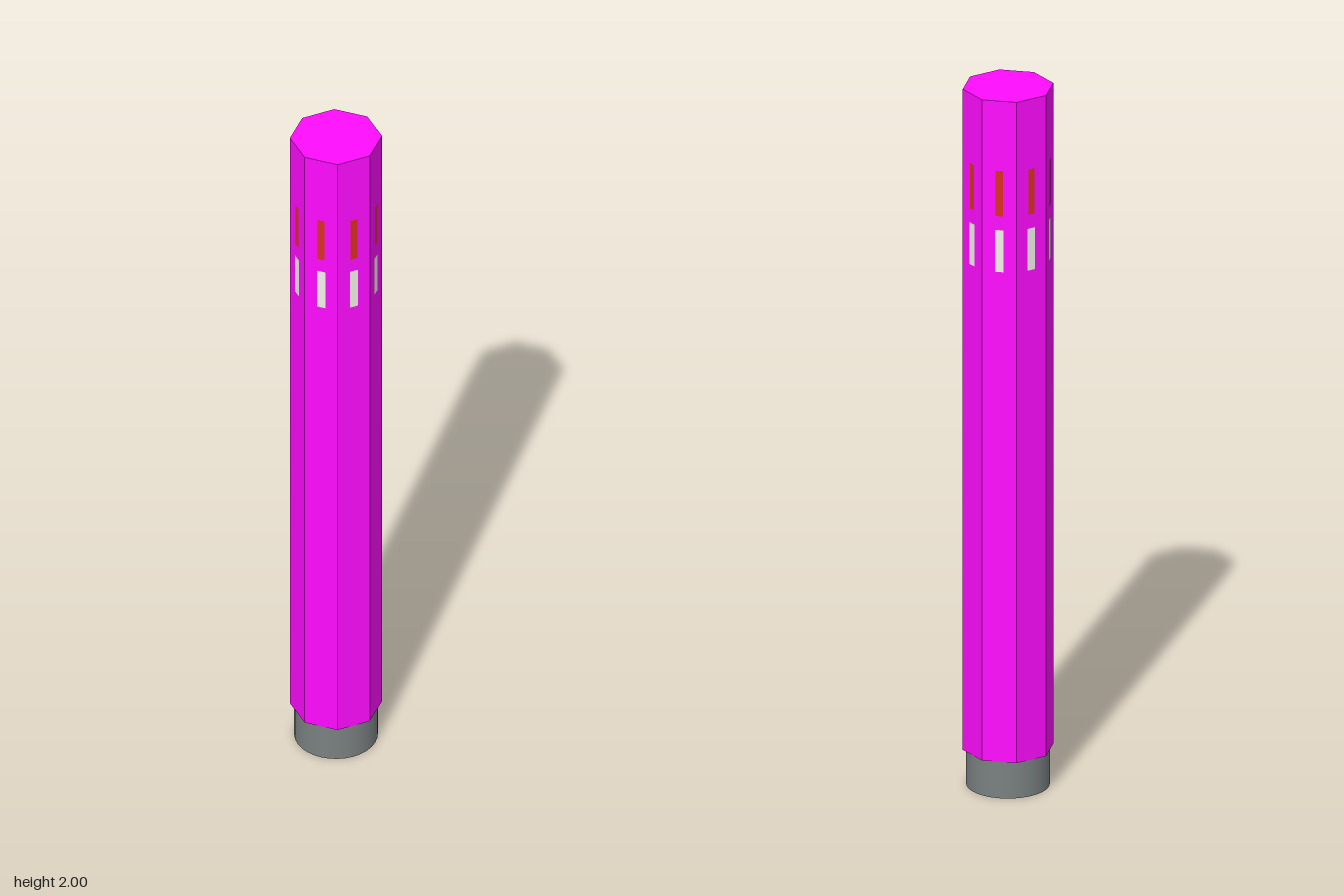
import * as THREE from 'three';

const SIDES = 8;
const RADIUS = 0.123;
const APOTHEM = RADIUS * Math.cos(Math.PI / SIDES);
const BASE_TOP = 0.105;

function material(color, extra = {}) {
  return new THREE.MeshStandardMaterial({ color, ...extra });
}

// Ring of upright panels, one on each face of the shaft
function panelRing(name, color, width, bottom, top) {
  const ring = new THREE.Group();
  ring.name = name;
  const geometry = new THREE.PlaneGeometry(width, top - bottom);
  const mat = material(color, { side: THREE.DoubleSide });
  for (let i = 0; i < SIDES; i++) {
    const angle = ((i + 0.5) / SIDES) * Math.PI * 2;
    const panel = new THREE.Mesh(geometry, mat);
    panel.name = name + 'Panel';
    const r = APOTHEM + 0.0008;
    panel.position.set(Math.sin(angle) * r, (bottom + top) / 2, Math.cos(angle) * r);
    panel.rotation.y = angle;
    ring.add(panel);
  }
  return ring;
}

export function createModel() {
  const model = new THREE.Group();
  model.name = 'column';

  // Octagonal shaft, capped at both ends
  const height = 2 - BASE_TOP;
  const shaft = new THREE.Mesh(
    new THREE.CylinderGeometry(RADIUS, RADIUS, height, SIDES),
    material(0xff0cff, { flatShading: true })
  );
  shaft.name = 'shaft';
  shaft.position.y = BASE_TOP + height / 2;
  model.add(shaft);

  // Round open collar under the shaft
  const collar = new THREE.Mesh(
    new THREE.CylinderGeometry(0.112, 0.112, BASE_TOP, 32, 1, true),
    material(0x7a8080, { side: THREE.DoubleSide })
  );
  collar.name = 'baseCollar';
  collar.position.y = BASE_TOP / 2;
  model.add(collar);

  // Two rows of lights near the top
  model.add(panelRing('redLight', 0xd8301e, 0.02, 1.67, 1.8));
  model.add(panelRing('whiteLight', 0xf2f2ea, 0.024, 1.51, 1.63));

  return model;
}
